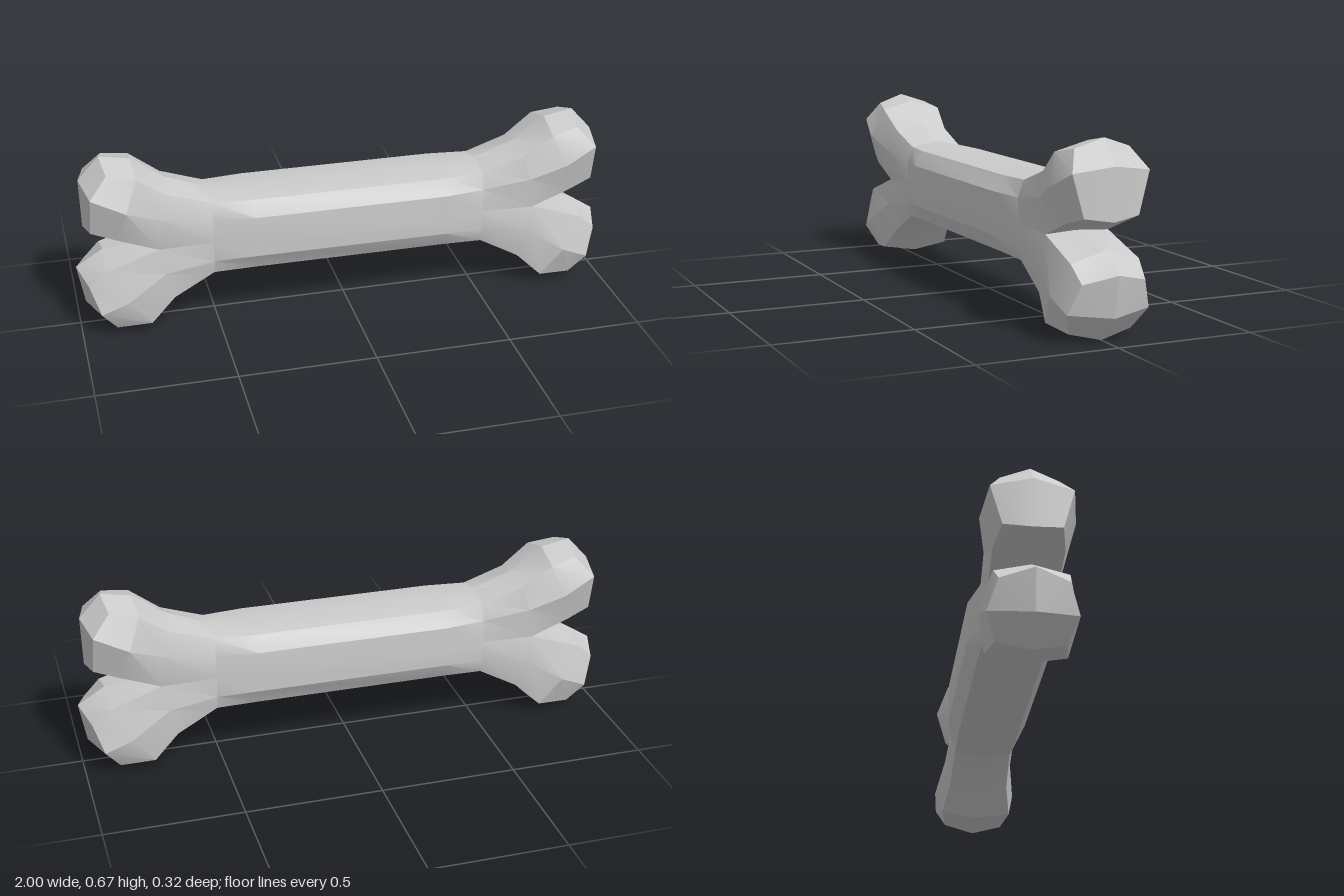
import * as THREE from 'three';
import { toCreasedNormals } from 'three/addons/utils/BufferGeometryUtils.js';

const material = new THREE.MeshStandardMaterial({ color: 0xcccccc });

// Half profile, top to bottom on the +z side, closed into a ring by mirroring z.
const closeRing = (half) => [
  ...half,
  ...half.slice(1, -1).reverse().map(([x, y, z]) => [x, y, -z]),
];

// Skin the rings along +x; an optional tip point closes the last ring.
function loft(halves, tip) {
  const rings = halves.map(closeRing);
  const n = rings[0].length;
  const index = [];
  for (let i = 0; i < rings.length - 1; i++) {
    for (let j = 0; j < n; j++) {
      const k = (j + 1) % n;
      const a = i * n + j, b = i * n + k, c = b + n, d = a + n;
      index.push(a, b, c, a, c, d);
    }
  }
  const points = rings.flat();
  if (tip) {
    const base = points.length - n;
    for (let j = 0; j < n; j++) index.push(points.length, base + j, base + (j + 1) % n);
    points.push(tip);
  }
  const geometry = new THREE.BufferGeometry();
  geometry.setAttribute('position', new THREE.Float32BufferAttribute(points.flat(), 3));
  geometry.setIndex(index);
  return toCreasedNormals(geometry, 0.42);
}

// Shaft sections as [y, z] half profiles
const middle = [[0.5, 0], [0.485, 0.115], [0.43, 0.152], [0.335, 0.152], [0.275, 0.152], [0.212, 0.115], [0.2, 0]];
const neck = [[0.505, 0], [0.485, 0.1], [0.425, 0.122], [0.335, 0.122], [0.26, 0.125], [0.207, 0.11], [0.19, 0]];
const at = (x, section) => section.map(([y, z]) => [x, y, z]);

// Upper knuckle: half of the neck section swelling into a faceted knob
const upper = [
  [...at(0.51, neck.slice(0, 4)), [0.51, 0.335, 0]],
  [[0.66, 0.56, 0], [0.665, 0.535, 0.105], [0.69, 0.45, 0.132], [0.71, 0.33, 0.118], [0.7, 0.335, 0]],
  [[0.78, 0.645, 0], [0.775, 0.612, 0.12], [0.82, 0.505, 0.162], [0.85, 0.385, 0.12], [0.85, 0.372, 0]],
  [[0.89, 0.665, 0], [0.875, 0.632, 0.1], [0.94, 0.56, 0.14], [0.945, 0.415, 0.1], [0.965, 0.4, 0]],
];

// Lower knuckle, reaching a little further out
const lower = [
  [[0.51, 0.335, 0], ...at(0.51, neck.slice(3))],
  [[0.7, 0.325, 0], [0.71, 0.33, 0.118], [0.69, 0.235, 0.135], [0.66, 0.125, 0.115], [0.66, 0.105, 0]],
  [[0.9, 0.298, 0], [0.905, 0.265, 0.125], [0.83, 0.15, 0.162], [0.75, 0.042, 0.137], [0.745, 0.02, 0]],
  [[1, 0.235, 0], [0.965, 0.207, 0.115], [0.93, 0.105, 0.15], [0.875, 0.028, 0.115], [0.885, 0, 0]],
];

export function createModel() {
  const bone = new THREE.Group();
  bone.name = 'bone';
  const add = (parent, name, geometry) => {
    const mesh = new THREE.Mesh(geometry, material);
    mesh.name = name;
    parent.add(mesh);
  };

  add(bone, 'shaft', loft([at(-0.51, neck), at(-0.36, middle), at(0.36, middle), at(0.51, neck)]));

  // The same forked end on both sides, turned half way round
  const upperGeometry = loft(upper, [0.968, 0.58, 0]);
  const lowerGeometry = loft(lower, [0.975, 0.09, 0]);
  for (const [name, turn] of [['leftEnd', 0], ['rightEnd', Math.PI]]) {
    const end = new THREE.Group();
    end.name = name;
    end.rotation.y = turn;
    add(end, 'upperKnuckle', upperGeometry);
    add(end, 'lowerKnuckle', lowerGeometry);
    bone.add(end);
  }
  return bone;
}
